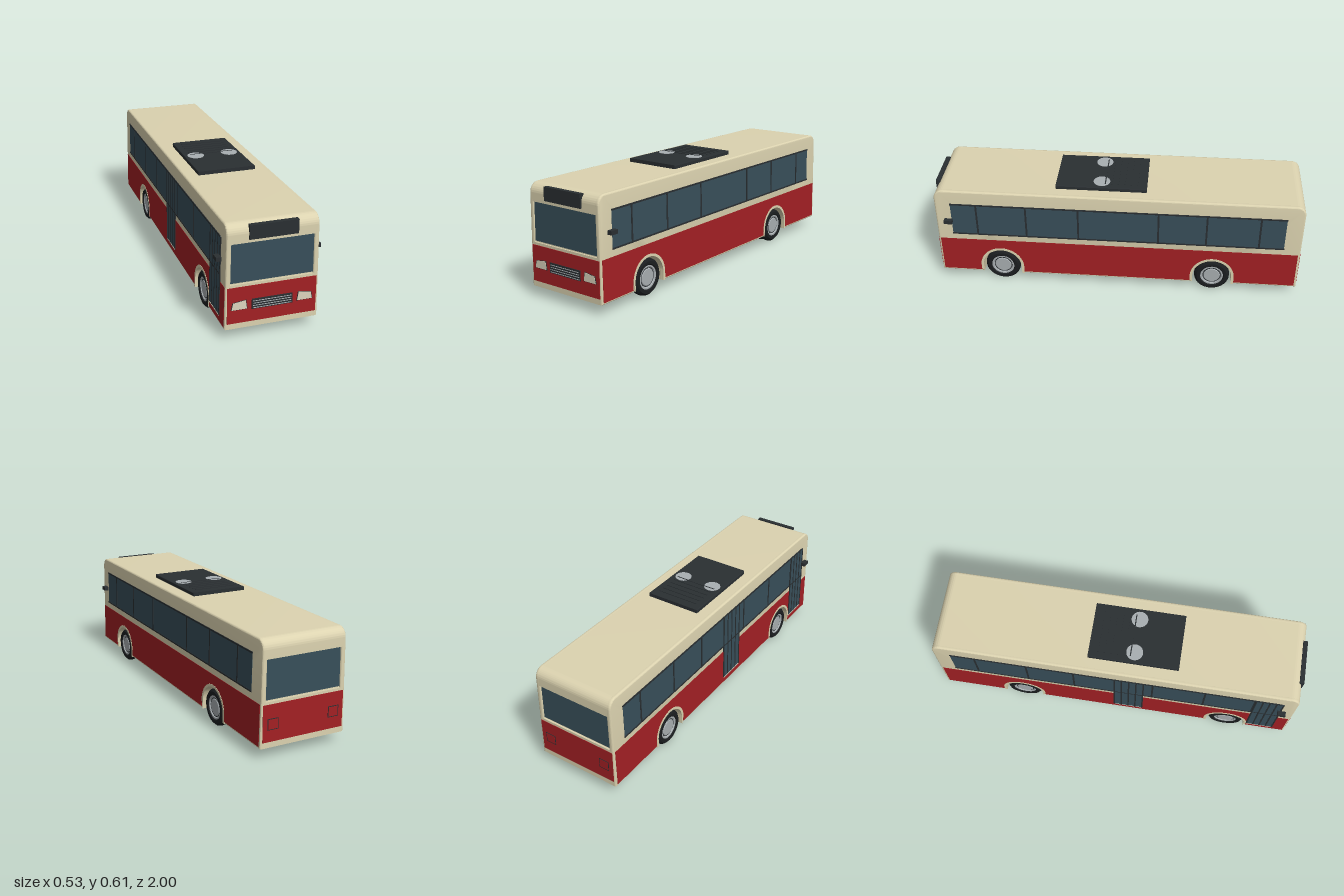
import * as THREE from 'three';
import { toCreasedNormals } from 'three/addons/utils/BufferGeometryUtils.js';

const paint = (color) => new THREE.MeshStandardMaterial({ color });
const cream = paint(0xdcd3b0), red = paint(0xa32024), glass = paint(0x384f5a), dark = paint(0x2a2f32);
const tyreMat = paint(0x1b1e20), silver = paint(0xa9afb2), lamp = paint(0xddd5bf);

const AXLES = [-0.53, 0.645], AXLE_Y = 0.1;
const BACK = -0.997, FRONT = 0.99;

// The walls lean in slightly towards the roof
function lean(geo) {
  const p = geo.attributes.position;
  for (let i = 0; i < p.count; i++) p.setX(i, p.getX(i) * (1 - 0.07 * (p.getY(i) - 0.06)));
  geo.computeVertexNormals();
  return geo;
}

// Side outline in (z, y) with wheel arches, rounded roof ends and optional window recesses
function outline(z0, z1, y0, y1, arch, round, recess) {
  const s = new THREE.Shape();
  s.moveTo(z0, y0);
  for (const z of AXLES) {
    s.lineTo(z - arch, y0);
    s.lineTo(z - arch, AXLE_Y);
    s.absarc(z, AXLE_Y, arch, Math.PI, 0, true);
    s.lineTo(z + arch, y0);
  }
  s.lineTo(z1, y0);
  if (recess) [[z1, 0.287], [z1 - 0.008, 0.287], [z1 - 0.008, 0.494], [z1, 0.494]].forEach((q) => s.lineTo(...q));
  if (round) {
    s.absarc(z1 - round, y1 - round, round, 0, Math.PI / 2, false);
    s.absarc(z0 + round, y1 - round, round, Math.PI / 2, Math.PI, false);
  } else {
    s.lineTo(z1, y1);
    s.lineTo(z0, y1);
  }
  if (recess) [[z0, 0.494], [z0 + 0.016, 0.494], [z0 + 0.01, 0.287], [z0, 0.287]].forEach((q) => s.lineTo(...q));
  s.closePath();
  return s;
}

// Extrude a (z, y) shape across x between x0 and x1
function slab(shape, x0, x1, bevel = 0) {
  const geo = new THREE.ExtrudeGeometry(shape, {
    depth: x1 - x0 - 2 * bevel, curveSegments: 20, bevelEnabled: bevel > 0,
    bevelSize: bevel, bevelThickness: bevel, bevelOffset: -bevel, bevelSegments: 3,
  });
  geo.rotateY(-Math.PI / 2).translate(x1 - bevel, 0, 0);
  return toCreasedNormals(lean(geo), 0.6);
}

// Box given by its limits
function block(x0, x1, y0, y1, z0, z1) {
  return new THREE.BoxGeometry(x1 - x0, y1 - y0, z1 - z0)
    .translate((x0 + x1) / 2, (y0 + y1) / 2, (z0 + z1) / 2);
}

function makeWheel(width) {
  const g = new THREE.Group(), h = width / 2;
  const lathe = (pts, mat, name) => {
    const geo = new THREE.LatheGeometry(pts.map((q) => new THREE.Vector2(...q)), 36).rotateZ(-Math.PI / 2);
    const m = new THREE.Mesh(toCreasedNormals(geo, 0.5), mat);
    m.name = name;
    g.add(m);
  };
  lathe([[0.062, -h + 0.006], [0.068, -h], [0.084, -h], [0.096, -h + 0.012], [0.098, 0], [0.096, h - 0.012],
    [0.084, h], [0.068, h], [0.062, h - 0.006], [0.062, -h + 0.006]], tyreMat, 'tyre');
  lathe([[0, -h + 0.016], [0.055, -h + 0.012], [0.063, -h + 0.005], [0.063, h - 0.005], [0.055, h - 0.005],
    [0.05, h - 0.012], [0.042, h - 0.006], [0, h - 0.006]], silver, 'rim');
  lathe([[0.044, h - 0.011], [0.05, h - 0.011], [0.05, h - 0.009], [0.044, h - 0.009]], dark, 'rimGroove');
  return g;
}

export function createModel() {
  const bus = new THREE.Group();
  const add = (name, geo, mat) => {
    const m = new THREE.Mesh(geo, mat);
    m.name = name;
    bus.add(m);
    return m;
  };

  // Body: recessed core between two bevelled side walls
  add('bodyCore', slab(outline(BACK, FRONT, 0.055, 0.588, 0.108, 0.05, true), -0.22, 0.22), cream);
  for (const [a, b] of [[-0.237, -0.211], [0.211, 0.237]])
    add('sideWall', slab(outline(BACK, FRONT, 0.055, 0.588, 0.108, 0.05), a, b, 0.007), cream);

  // Windscreen, rear window and red end panels
  add('windscreen', lean(block(-0.221, 0.221, 0.293, 0.492, 0.978, 0.985)), glass);
  const rear = lean(block(-0.221, 0.221, 0.293, 0.492, -0.99, -0.98));
  add('rearWindow', rear, glass);
  add('frontPanel', block(-0.225, 0.225, 0.085, 0.273, 0.98, 0.993), red);
  add('rearPanel', block(-0.225, 0.225, 0.085, 0.273, -0.999, -0.98), red);

  // Both sides: red skirt, arch lips, windows and wheels
  for (const s of [-1, 1]) {
    const span = (a, b) => (s > 0 ? [a, b] : [-b, -a]);
    add('sidePanel', slab(outline(-0.985, 0.98, 0.065, 0.276, 0.122, 0), ...span(0.23, 0.2385)), red);
    add('sideWindow', lean(block(...span(0.23, 0.2385), 0.315, 0.505, -0.905, 0.905)), glass);
    for (const y of [0.315, 0.505])
      add('windowRail', lean(block(...span(0.23, 0.241), y - 0.004, y + 0.004, -0.907, 0.907)), dark);
    for (const z of [-0.77, -0.485, -0.225, 0.21, 0.495, 0.765])
      add('windowPillar', lean(block(...span(0.23, 0.2405), 0.315, 0.505, z - 0.005, z + 0.005)), dark);

    AXLES.forEach((z, i) => {
      const lip = new THREE.Shape();
      lip.moveTo(z + 0.122, 0.055);
      lip.absarc(z, AXLE_Y, 0.122, 0, Math.PI, false);
      lip.lineTo(z - 0.122, 0.055);
      lip.lineTo(z - 0.108, 0.055);
      lip.absarc(z, AXLE_Y, 0.108, Math.PI, 0, true);
      lip.lineTo(z + 0.108, 0.055);
      add('archLip', slab(lip, ...span(0.23, 0.24)), cream);
      // The rear axle carries twin wheels
      for (const x of i === 0 ? [0.206, 0.153] : [0.206]) {
        const w = makeWheel(0.052);
        w.name = i === 0 ? 'rearWheel' : 'frontWheel';
        w.position.set(s * x, 0.098, z);
        if (s < 0) w.rotation.y = Math.PI;
        bus.add(w);
      }
    });

    // Mirror on a short arm
    const arm = new THREE.LineCurve3(new THREE.Vector3(s * 0.215, 0.384, 0.925), new THREE.Vector3(s * 0.243, 0.396, 0.92));
    add('mirrorArm', new THREE.TubeGeometry(arm, 1, 0.004, 8), dark);
    add('mirror', block(...span(0.237, 0.263), 0.394, 0.415, 0.898, 0.942), dark);

    // Headlamp: dark surround with a pale lens
    const corners = [[0.124, 0.156], [0.207, 0.156], [0.199, 0.195], [0.131, 0.204]];
    for (const [name, k, z, mat] of [['headlampFrame', 1, 0.995, dark], ['headlampLens', 0.92, 0.9965, lamp]]) {
      const pts = corners.map(([x, y]) => new THREE.Vector2(s * (0.165 + (x - 0.165) * k), 0.178 + (y - 0.178) * k));
      add(name, new THREE.ExtrudeGeometry(new THREE.Shape(pts), { depth: 0.012, bevelEnabled: false })
        .translate(0, 0, z - 0.012), mat);
    }

    // Square tail lamp
    const tx = s * 0.17;
    add('tailLampFrame', block(tx - 0.03, tx + 0.03, 0.145, 0.202, -1, -0.99), dark);
    add('tailLamp', block(tx - 0.026, tx + 0.026, 0.149, 0.198, -1.001, -0.99), red);
  }

  // Folding doors on the right-hand side
  for (const [z0, z1] of [[0, 0.16], [0.77, 0.915]]) {
    add('doorGlass', lean(block(-0.24, -0.23, 0.1, 0.505, z0, z1)), glass);
    add('doorSill', lean(block(-0.241, -0.23, 0.094, 0.1, z0, z1)), lamp);
    for (let i = 0; i <= 4; i++) {
      const z = z0 + ((z1 - z0) * i) / 4;
      add('doorBar', lean(block(-0.2415, -0.23, 0.1, 0.505, z - 0.004, z + 0.004)), dark);
    }
  }

  // Blank destination board and grille
  add('destinationBoard', block(-0.121, 0.121, 0.511, 0.582, 0.975, 0.999), dark);
  add('grille', block(-0.103, 0.103, 0.15, 0.203, 0.985, 0.996), dark);
  for (let i = 0; i < 4; i++) {
    const y = 0.156 + i * 0.012;
    add('grilleSlat', block(-0.097, 0.097, y - 0.0015, y + 0.0015, 0.985, 0.998), silver);
  }

  // Roof cooling unit with two fans and slats
  const pad = new THREE.Shape();
  pad.moveTo(-0.335, 0.585);
  [[0.155, 0.585], [0.155, 0.608], [-0.335, 0.608]].forEach((q) => pad.lineTo(...q));
  const padGeo = new THREE.ExtrudeGeometry(pad, { depth: 0.304, bevelThickness: 0.004, bevelSize: 0.004, bevelOffset: -0.004, bevelSegments: 2 });
  add('roofUnit', padGeo.rotateY(Math.PI / 2).translate(-0.152, 0, 0), dark);
  for (const x of [-0.095, 0.095])
    add('roofFan', new THREE.CylinderGeometry(0.045, 0.045, 0.004, 32).translate(x, 0.608, 0.09), silver);
  for (let i = 0; i < 6; i++) {
    const z = -0.105 + i * 0.035;
    add('roofSlat', block(-0.12, 0.12, 0.605, 0.611, z - 0.003, z + 0.003), dark);
  }
  return bus;
}
